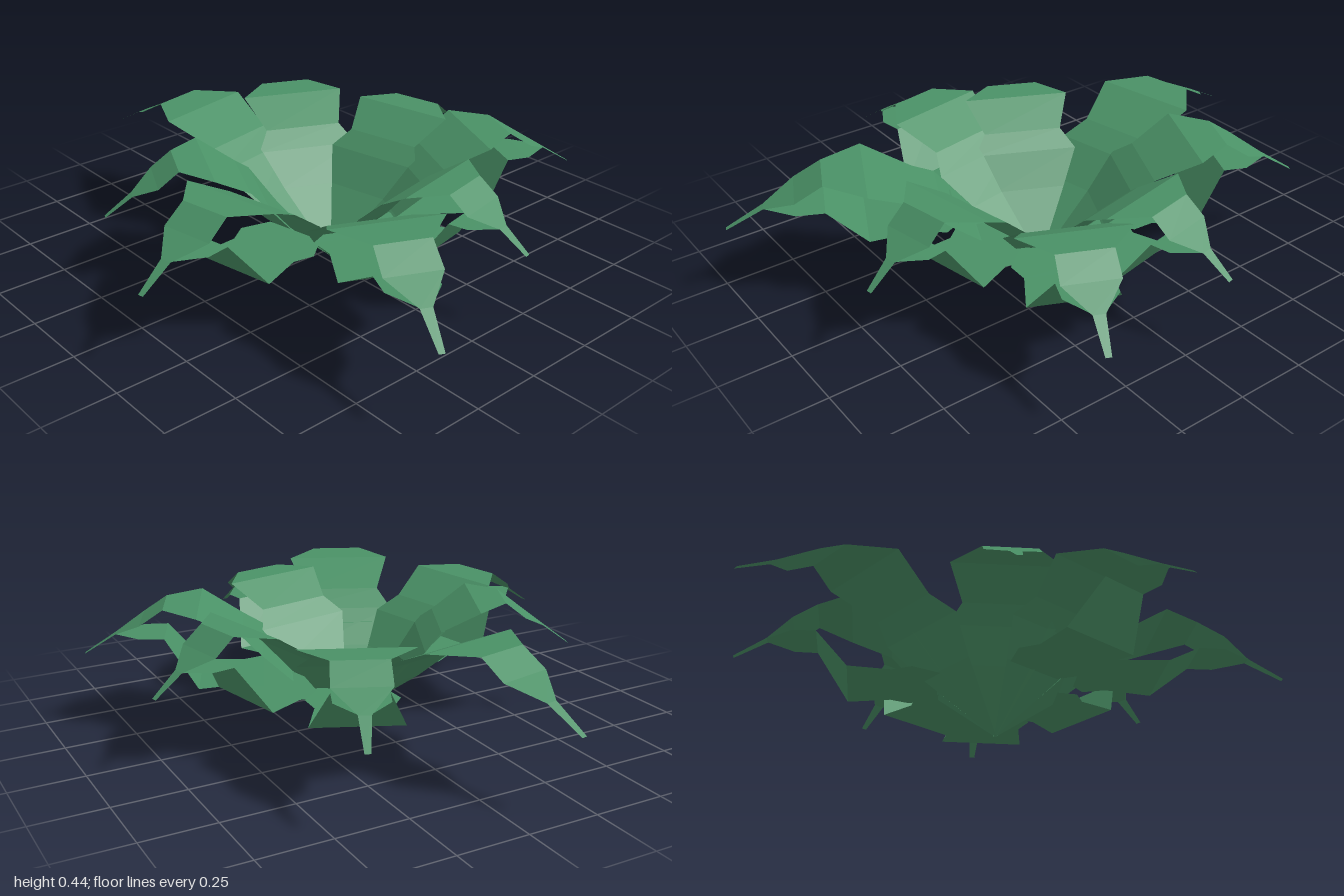
import * as THREE from 'three';

const leafGreen = new THREE.MeshStandardMaterial({ color: 0x4a9166, flatShading: true, side: THREE.DoubleSide });
leafGreen.name = 'leaf green';

// Upper blade rows: [fraction of length, height, half width]
const UPPER = [
  [0, 0, 0.004], [0.22, 0.19, 0.125], [0.325, 0.3, 0.185], [0.4, 0.355, 0.14], [0.56, 0.435, 0.19],
  [0.69, 0.44, 0.092], [0.78, 0.385, 0.094], [0.88, 0.335, 0.02], [1, 0.265, 0.01],
];
// Lower blade rows: level, a step up, then level again to meet the upper blade
const lowerRows = (start, floor) => [
  [start, floor + 0.008, 0.11], [0.325, floor + 0.006, 0.16], [0.4, floor + 0.004, 0.13],
  [0.565, floor, 0.155], [0.69, 0.337, 0.09], [0.78, 0.337, 0.088], [0.88, 0.335, 0.015],
];
const DEEP = lowerRows(0.22, 0.177);
const SHALLOW = lowerRows(0.28, 0.25);

// Leaf tips on the ground plane, measured from the stem; most leaves carry a lower blade
const LEAVES = [
  { tip: [-0.21, -1.04] },
  { tip: [-0.45, 0.96], lower: SHALLOW },
  { tip: [-0.71, -0.34] },
  { tip: [-0.9, 0.17], lower: DEEP },
  { tip: [0.83, 0.38], lower: DEEP },
  { tip: [0.39, -0.84], lower: DEEP },
  { tip: [0.15, 0.76], lower: DEEP },
  { tip: [0.77, -0.16], lower: DEEP },
];

// Strip of quads along +x, scaled to the leaf length
function blade(rows, length, name) {
  const pos = [], idx = [];
  rows.forEach(([t, y, w], i) => {
    pos.push(t * length, y, w, t * length, y, -w);
    if (i) {
      const a = 2 * i - 2;
      idx.push(a, a + 2, a + 1, a + 1, a + 2, a + 3);
    }
  });
  const g = new THREE.BufferGeometry();
  g.setAttribute('position', new THREE.Float32BufferAttribute(pos, 3));
  g.setIndex(idx);
  g.computeVertexNormals();
  const mesh = new THREE.Mesh(g, leafGreen);
  mesh.name = name;
  return mesh;
}

export function createModel() {
  const model = new THREE.Group();
  model.name = 'leafyPlant';

  for (const { tip: [x, z], lower } of LEAVES) {
    const length = Math.hypot(x, z);
    const leaf = new THREE.Group();
    leaf.name = 'leaf';
    leaf.add(blade(UPPER, length, 'upperBlade'));
    if (lower) leaf.add(blade(lower, length, 'lowerBlade'));
    leaf.rotation.y = -Math.atan2(z, x);
    leaf.position.set(0.03, 0, 0.04);
    model.add(leaf);
  }
  return model;
}
